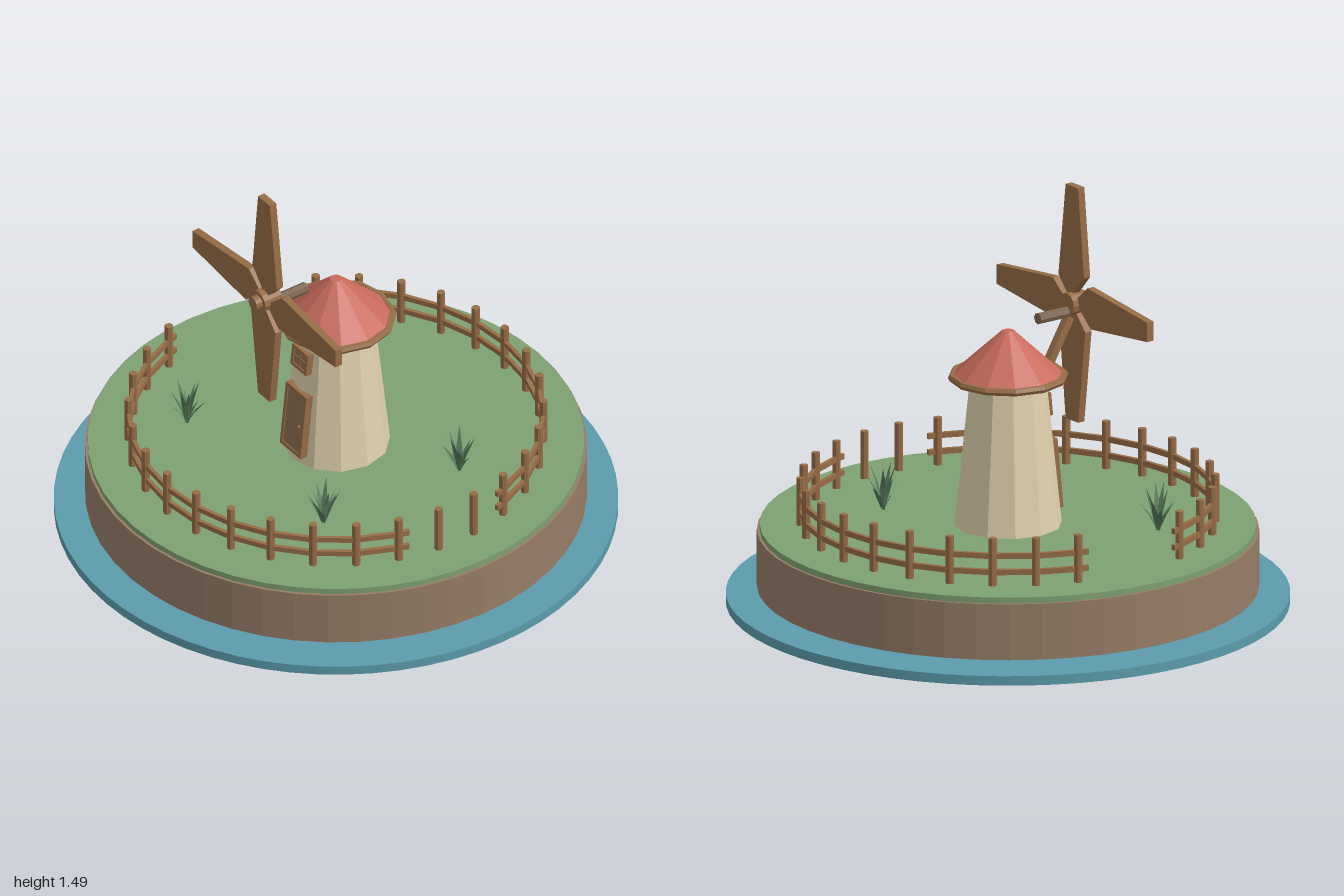
import * as THREE from 'three';

const mat = (name, color, flat = true) => {
  const m = new THREE.MeshStandardMaterial({ color, flatShading: flat });
  m.name = name;
  return m;
};

export function createModel() {
  const water = mat('water blue', 0x5b9bab, false);
  const earth = mat('earth brown', 0x967c66);
  const grass = mat('grass green', 0x7ea072, false);
  const wall = mat('plaster cream', 0xe0d1ae);
  const roofRed = mat('roof red', 0xc86a5c);
  const wood = mat('wood brown', 0x966c46);
  const plank = mat('door brown', 0x8c6c50);
  const dark = mat('axle brown', 0x7c6450);
  const leafGreen = mat('leaf green', 0x57785a);
  leafGreen.side = THREE.DoubleSide;

  const root = new THREE.Group();
  root.name = 'windmillIsland';
  const add = (parent, name, geo, material, x = 0, y = 0, z = 0) => {
    const m = new THREE.Mesh(geo, material);
    m.name = name;
    m.position.set(x, y, z);
    parent.add(m);
    return m;
  };
  const group = (name, x = 0, y = 0, z = 0, parent = root) => {
    const g = new THREE.Group();
    g.name = name;
    g.position.set(x, y, z);
    parent.add(g);
    return g;
  };
  const cyl = (r1, r2, h, n) => new THREE.CylinderGeometry(r1, r2, h, n);
  const box = (w, h, d) => new THREE.BoxGeometry(w, h, d);

  // Island: water disc, floating earth and grass top
  add(root, 'waterDisc', cyl(1, 1, 0.035, 64), water, 0, 0.0175, 0);
  add(root, 'earth', cyl(0.89, 0.89, 0.207, 48), earth, 0, 0.1635, 0);
  add(root, 'grassTop', cyl(0.88, 0.88, 0.022, 48), grass, 0, 0.278, 0);

  // Tower and roof
  add(root, 'tower', cyl(0.135, 0.192, 0.551, 12), wall, 0, 0.5645, 0);
  add(root, 'roof', cyl(0.022, 0.2, 0.165, 12), roofRed, 0, 0.922, 0);
  const eaves = add(root, 'eaves', new THREE.TorusGeometry(0.201, 0.014, 6, 12), wood, 0, 0.836, 0);
  eaves.rotation.x = Math.PI / 2;

  // Frame of four bars around an opening
  const frame = (g, w, h, t, d) => {
    for (const s of [-1, 1]) {
      add(g, 'frameSide', box(t, h, d), wood, s * (w - t) / 2, 0, 0);
      add(g, 'frameBar', box(w - 2 * t, t, d), wood, 0, s * (h - t) / 2, 0);
    }
  };

  // Door and window lean with the wall
  const door = group('door', 0, 0.455, 0.172);
  door.rotation.x = -0.103;
  add(door, 'doorPanel', box(0.1, 0.24, 0.022), plank);
  frame(door, 0.125, 0.26, 0.014, 0.03);
  add(door, 'doorKnob', new THREE.SphereGeometry(0.008, 8, 6), dark, 0.034, -0.01, 0.014);

  const win = group('window', 0, 0.712, 0.148);
  win.rotation.x = -0.103;
  add(win, 'windowPane', box(0.08, 0.07, 0.016), plank);
  frame(win, 0.095, 0.085, 0.013, 0.026);
  add(win, 'mullion', box(0.01, 0.07, 0.022), wood);
  add(win, 'crossbar', box(0.075, 0.01, 0.022), wood);

  // Axle and diagonal brace
  const axle = add(root, 'axle', cyl(0.021, 0.021, 0.17, 8), dark, 0, 1.022, 0.218);
  axle.rotation.x = Math.PI / 2;
  const brace = add(root, 'brace', box(0.03, 0.2, 0.028), wood, 0, 0.918, 0.222);
  brace.rotation.x = 0.54;

  // Sails: four tapered boards turning about the hub
  const sails = group('sails', 0, 1.05, 0.3);
  const blade = new THREE.Shape([
    [-0.036, 0.435], [-0.07, 0.11], [0.012, 0.016], [0.078, 0.09], [0.036, 0.435],
  ].map(([x, y]) => new THREE.Vector2(x, y)));
  const bladeGeo = new THREE.ExtrudeGeometry(blade, { depth: 0.028, bevelEnabled: false });
  bladeGeo.translate(0, 0, -0.014);
  for (let i = 0; i < 4; i++) {
    add(sails, 'sail', bladeGeo, wood).rotation.z = i * Math.PI / 2;
  }
  add(sails, 'hub', cyl(0.042, 0.042, 0.075, 12), wood).rotation.x = Math.PI / 2;
  add(sails, 'hubCap', cyl(0.026, 0.026, 0.04, 12), wood, 0, 0, 0.043).rotation.x = Math.PI / 2;

  // Fence: posts every 12 degrees, with a gap on the right-hand side
  const fence = group('fence');
  const R = 0.735;
  const step = Math.PI / 15;
  const postGeo = cyl(0.015, 0.015, 0.178, 8);
  const at = (a, y) => new THREE.Vector3(R * Math.sin(a), y, R * Math.cos(a));
  for (let i = 0; i < 30; i++) {
    if (i === 22 || i === 23) continue;
    const p = at(i * step, 0.376);
    add(fence, 'post', postGeo, wood, p.x, p.y, p.z);
  }
  // Two straight-sectioned rails on the front and the back
  for (const start of [0, Math.PI]) {
    for (const y of [0.338, 0.398]) {
      const stops = [-6.25, -6, -5, -4, -3, -2, -1, 0, 1, 2, 3, 4, 5, 6, 6.25];
      for (let i = 0; i < stops.length - 1; i++) {
        const a = at(start + stops[i] * step, y);
        const b = at(start + stops[i + 1] * step, y);
        const rail = add(fence, 'rail', box(0.014, 0.02, a.distanceTo(b)), wood);
        rail.position.copy(a).add(b).multiplyScalar(0.5);
        rail.lookAt(b);
      }
    }
  }

  // Grass tufts: curved pointed leaves in a ring
  const leaf = new THREE.BufferGeometry();
  leaf.setAttribute('position', new THREE.Float32BufferAttribute([
    -0.007, 0, 0, 0.007, 0, 0, 0.011, 0.085, 0.016, -0.011, 0.085, 0.016, 0, 0.16, 0.042,
  ], 3));
  leaf.setIndex([0, 1, 2, 0, 2, 3, 3, 2, 4]);
  leaf.computeVertexNormals();
  for (const [x, z, turn] of [[0.4, -0.25, 0.3], [-0.39, 0.37, 1.1], [0.37, 0.32, 2]]) {
    const tuft = group('tuft', x, 0.288, z);
    for (let i = 0; i < 10; i++) {
      const l = add(tuft, 'leaf', leaf, leafGreen);
      l.rotation.order = 'YXZ';
      l.rotation.y = turn + i * Math.PI * 0.2;
      l.rotation.x = 0.04 + (i % 3) * 0.09;
      l.scale.y = 1.05 - (i % 3) * 0.18;
    }
  }
  return root;
}
